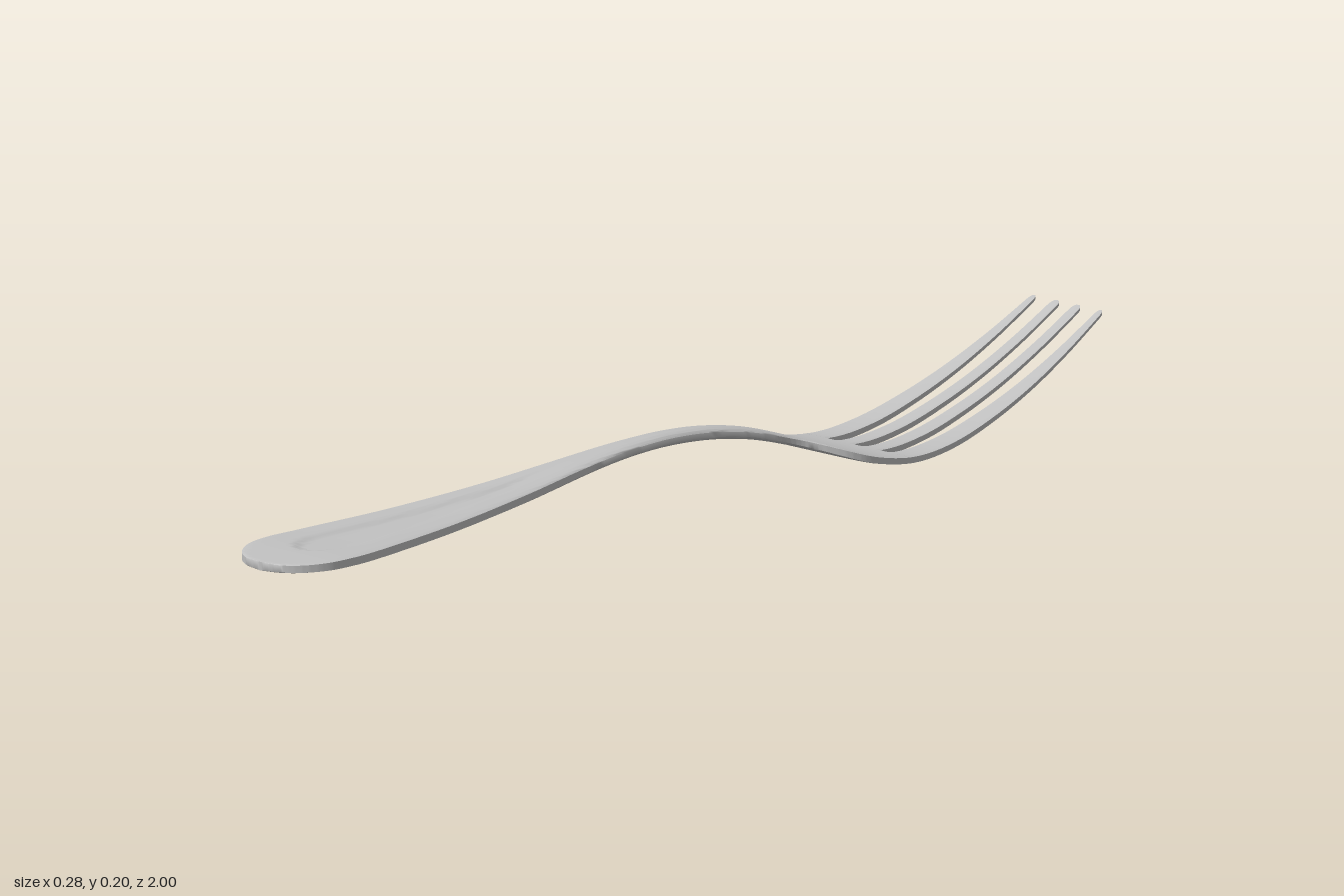
import * as THREE from 'three';
import { toCreasedNormals } from 'three/addons/utils/BufferGeometryUtils.js';

const { lerp, clamp, smoothstep } = THREE.MathUtils;

// smooth interpolation through [z, value] pairs
function table(pts) {
  const slope = (i) => {
    const a = pts[Math.max(i - 1, 0)], b = pts[Math.min(i + 1, pts.length - 1)];
    return (b[1] - a[1]) / (b[0] - a[0]);
  };
  return (z) => {
    let i = 0;
    while (i < pts.length - 2 && z > pts[i + 1][0]) i++;
    const [z0, v0] = pts[i], [z1, v1] = pts[i + 1];
    const h = z1 - z0, t = clamp((z - z0) / h, 0, 1), t2 = t * t, t3 = t2 * t;
    return (2 * t3 - 3 * t2 + 1) * v0 + (t3 - 2 * t2 + t) * h * slope(i)
      + (3 * t2 - 2 * t3) * v1 + (t3 - t2) * h * slope(i + 1);
  };
}

// side profile: centre height, thickness, and how square the edges are
const height = table([[-1, 0.2], [-0.9, 0.142], [-0.8, 0.092], [-0.7, 0.052], [-0.6, 0.022],
  [-0.5, 0.009], [-0.4, 0.021], [-0.3, 0.053], [-0.2, 0.08], [-0.1, 0.095], [0, 0.099],
  [0.1, 0.094], [0.2, 0.083], [0.4, 0.056], [0.6, 0.036], [0.8, 0.023], [0.9, 0.018], [1, 0.01]]);
const thickness = table([[-1, 0.007], [-0.7, 0.011], [-0.45, 0.014], [-0.3, 0.018], [-0.15, 0.023],
  [0, 0.025], [0.2, 0.022], [0.5, 0.02], [0.9, 0.019], [1, 0.016]]);
const edge = table([[-1, 0.75], [-0.4, 0.8], [-0.25, 0.45], [0.05, 0.4], [0.4, 0.65], [1, 0.8]]);

// teardrop hollow stamped into the handle
function hollow(x, z) {
  if (z < 0.12 || z > 0.9) return 0;
  let g = 0.062 * (z - 0.12) / 0.7;
  if (z > 0.82) g = 0.062 * Math.sqrt(Math.max(0, 1 - ((z - 0.82) / 0.08) ** 2));
  return 0.006 * smoothstep(g - Math.abs(x), 0, 0.02) * smoothstep(z, 0.12, 0.4);
}

// closed loft from rows [x0, x1, z] in order of rising z
function loft(rows, across) {
  const pos = [], idx = [], n = 2 * (across + 1);
  for (const [x0, x1, z] of rows) {
    for (let j = 0; j < n; j++) {
      const top = j <= across;
      const u = -1 + 2 * (top ? j : n - 1 - j) / across;
      const x = lerp(x0, x1, (u + 1) / 2);
      const e = edge(z), power = e > 0.7 ? 8 : lerp(2, 8, clamp((e - 0.4) / 0.3, 0, 1));
      const half = thickness(z) / 2 * (e + (1 - e) * Math.sqrt(Math.max(0, 1 - Math.abs(u) ** power)));
      const dent = hollow(x, z);
      pos.push(x, height(z) + (top ? half - dent : -half - dent * 0.4), z);
    }
  }
  for (let i = 0; i < rows.length - 1; i++) {
    for (let j = 0; j < n; j++) {
      const a = i * n + j, b = i * n + (j + 1) % n, c = a + n, d = b + n;
      idx.push(a, c, b, b, c, d);
    }
  }
  const last = (rows.length - 1) * n;
  for (let j = 1; j < n - 1; j++) {
    idx.push(0, j, j + 1, last, last + j + 1, last + j);
  }
  const geo = new THREE.BufferGeometry();
  geo.setAttribute('position', new THREE.Float32BufferAttribute(pos, 3));
  geo.setIndex(idx);
  return toCreasedNormals(geo, 0.7);
}

export function createModel() {
  const group = new THREE.Group();
  const steel = new THREE.MeshStandardMaterial({ color: 0xbfbfbf });
  steel.name = 'steel';
  const add = (name, geo) => {
    const mesh = new THREE.Mesh(geo, steel);
    mesh.name = name;
    group.add(mesh);
  };

  // handle, neck and palm of the head in one piece: [half width, z]
  const root = -0.478;
  const outline = new THREE.CatmullRomCurve3([
    [0.14, root], [0.138, -0.42], [0.133, -0.385], [0.116, -0.355], [0.085, -0.33], [0.05, -0.306],
    [0.035, -0.275], [0.029, -0.2], [0.026, -0.1], [0.026, 0], [0.03, 0.1], [0.04, 0.22],
    [0.063, 0.4], [0.09, 0.6], [0.114, 0.8], [0.119, 0.87], [0.111, 0.925], [0.085, 0.966],
    [0.05, 0.99], [0.003, 1],
  ].map(([w, z]) => new THREE.Vector3(w, 0, z)));
  add('handleAndPalm', loft(outline.getPoints(190).map((p) => [-p.x, p.x, p.z]), 36));

  // tines: slots start round at the root, tips are rounded off
  const outer = table([[-1, 0.096], [-0.8, 0.118], [-0.6, 0.135], [root, 0.14]]);
  const slotMid = 0.0705, slotR = 0.014;
  const steps = [];
  for (let i = 0; i <= 8; i++) steps.push(slotR * (1 - Math.cos(i / 8 * Math.PI / 2)));
  for (let i = 1; i <= 30; i++) steps.push(lerp(slotR, 0.51, i / 30));
  for (let i = 1; i <= 6; i++) steps.push(0.51 + 0.012 * Math.sin(i / 6 * Math.PI / 2));
  const tine = (inner, side) => loft(steps.map((d) => {
    const z = root - d, t = d / 0.522;
    const r = d < slotR ? Math.sqrt(1 - (1 - d / slotR) ** 2) : 1;
    let x0 = inner ? lerp(0, lerp(0.014, 0.017, t), r) : lerp(slotMid, lerp(0.084, 0.081, t), r);
    let x1 = inner ? lerp(slotMid, lerp(0.057, 0.039, t), r) : outer(z);
    const tip = Math.max(0, (d - 0.51) / 0.012);
    const shrink = 0.35 + 0.65 * Math.sqrt(Math.max(0, 1 - tip * tip));
    const mid = (x0 + x1) / 2, half = (x1 - x0) / 2 * shrink;
    return side > 0 ? [mid - half, mid + half, z] : [-mid - half, -mid + half, z];
  }).reverse(), 10);
  for (const [label, side] of [['left', 1], ['right', -1]]) {
    add(label + 'InnerTine', tine(true, side));
    add(label + 'OuterTine', tine(false, side));
  }
  return group;
}
